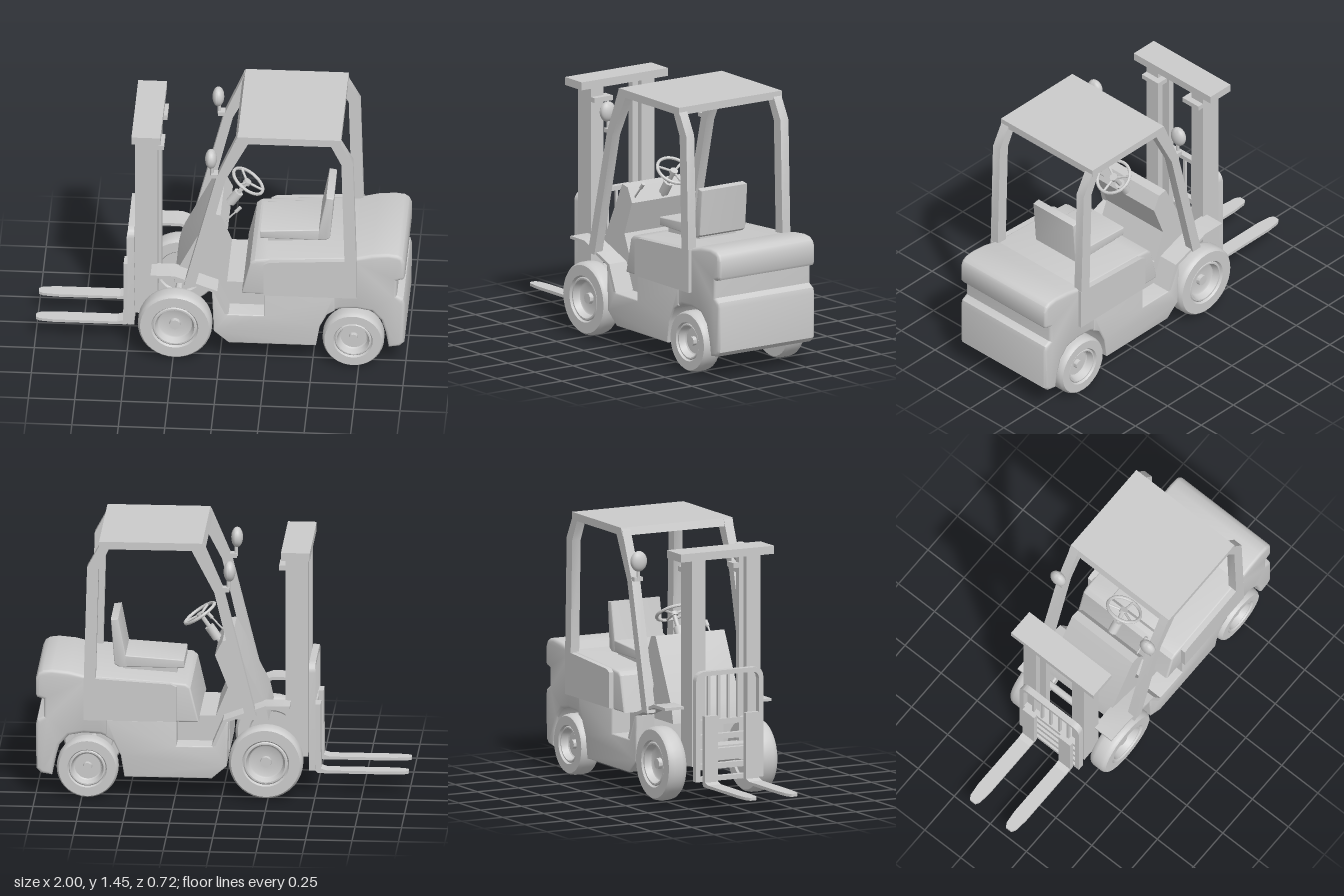
import * as THREE from 'three';
import { toCreasedNormals } from 'three/addons/utils/BufferGeometryUtils.js';

const mat = new THREE.MeshStandardMaterial({ color: 0xcccccc });

export function createModel() {
  const model = new THREE.Group();

  const add = (name, geo, x = 0, y = 0, z = 0) => {
    const mesh = new THREE.Mesh(toCreasedNormals(geo, 0.6), mat);
    mesh.name = name;
    mesh.position.set(x, y, z);
    model.add(mesh);
    return mesh;
  };
  const shapeOf = (pts) => new THREE.Shape(pts.map(([x, y]) => new THREE.Vector2(x, y)));
  // Side profile (x, y) extruded from z0 to z1, edges rounded by b
  const side = (name, pts, z0, z1, b = 0) => {
    const geo = new THREE.ExtrudeGeometry(shapeOf(pts), {
      depth: z1 - z0 - 2 * b, bevelEnabled: b > 0, bevelSize: b,
      bevelThickness: b, bevelOffset: -b, bevelSegments: 3,
    });
    return add(name, geo.translate(0, 0, z0 + b));
  };
  // Same profile on both sides, between distances a and b from the middle
  const pair = (name, pts, a, b, bevel = 0) => {
    side('left ' + name, pts, -b, -a, bevel);
    side('right ' + name, pts, a, b, bevel);
  };
  // Box given by its limits
  const box = (name, x0, x1, y0, y1, z0, z1) =>
    add(name, new THREE.BoxGeometry(x1 - x0, y1 - y0, z1 - z0),
      (x0 + x1) / 2, (y0 + y1) / 2, (z0 + z1) / 2);
  // Round bar between two points
  const bar = (name, a, b, r, sides = 12) => {
    const p = new THREE.Vector3(...a), q = new THREE.Vector3(...b);
    const mesh = add(name, new THREE.CylinderGeometry(r, r, p.distanceTo(q), sides));
    mesh.position.copy(p).add(q).multiplyScalar(0.5);
    mesh.quaternion.setFromUnitVectors(new THREE.Vector3(0, 1, 0), q.sub(p).normalize());
    return mesh;
  };

  // Chassis with side steps, and the floor between them
  side('chassis', [[-0.03, 0.19], [0.05, 0.12], [0.52, 0.12], [0.54, 0.24], [0.58, 0.32],
    [0.62, 0.345], [0.62, 0.44], [0.24, 0.44], [0.24, 0.30], [0.045, 0.30], [-0.01, 0.44],
    [-0.04, 0.44]], -0.32, 0.32, 0.006);
  box('floor', -0.04, 0.26, 0.25, 0.44, -0.21, 0.21);

  // Counterweight with rear groove and wheel arch
  side('counterweight', [[0.56, 0.3], [0.59, 0.33], [0.65, 0.355], [0.74, 0.36], [0.82, 0.345],
    [0.87, 0.29], [0.895, 0.21], [0.91, 0.12], [0.97, 0.13], [0.995, 0.155], [0.998, 0.40],
    [0.99, 0.43], [0.955, 0.45], [0.955, 0.545], [0.99, 0.555], [0.998, 0.57], [0.998, 0.66],
    [0.985, 0.69], [0.96, 0.707], [0.91, 0.713], [0.82, 0.705], [0.72, 0.68], [0.56, 0.66]],
  -0.317, 0.317, 0.018);

  // Hood and side panels
  side('hood', [[0.12, 0.43], [0.165, 0.625], [0.19, 0.645], [0.26, 0.652], [0.75, 0.682],
    [0.75, 0.43]], -0.31, 0.31, 0.012);
  pair('side panel', [[0.24, 0.44], [0.24, 0.635], [0.27, 0.65], [0.74, 0.677], [0.74, 0.44]],
    0.29, 0.337);

  // Dashboard
  side('dashboard', [[-0.25, 0.42], [-0.23, 0.51], [-0.05, 0.87], [0.0, 0.86], [0.04, 0.78],
    [-0.03, 0.60], [0.035, 0.44], [0.0, 0.42]], -0.21, 0.21);

  // Front fenders
  pair('fender', [[-0.37, 0.52], [-0.37, 0.535], [-0.24, 0.535], [-0.01, 0.45], [0.05, 0.305],
    [0.03, 0.305], [-0.03, 0.44], [-0.24, 0.517]], 0.2, 0.325);

  // Overhead guard
  side('roof', [[0.085, 1.405], [0.1, 1.447], [0.655, 1.447], [0.655, 1.405]], -0.34, 0.34);
  pair('front post', [[-0.19, 0.48], [-0.015, 1.18], [0.095, 1.44], [0.16, 1.41], [0.035, 1.17],
    [-0.13, 0.48]], 0.285, 0.337);
  pair('rear post', [[0.655, 1.42], [0.72, 1.30], [0.738, 0.66], [0.675, 0.66], [0.658, 1.29],
    [0.6, 1.41]], 0.285, 0.337);

  // Wheels: tyre and dished rim in one turned profile, with axles
  const wheel = (name, x, r, s) => {
    const pts = [[0, 0.01], [0.6, 0.01], [0.64, 0], [0.93, 0], [0.98, 0.012], [1, 0.03],
      [1, 0.077], [0.98, 0.095], [0.93, 0.107], [0.64, 0.107], [0.6, 0.095], [0.57, 0.1],
      [0.53, 0.1], [0.46, 0.065], [0.42, 0.06], [0.15, 0.06], [0.14, 0.082], [0, 0.082]];
    const geo = new THREE.LatheGeometry(pts.map(([a, h]) => new THREE.Vector2(a * r, h)), 36);
    add(name, geo.rotateX(s * Math.PI / 2), x, r === 0.2 ? 0.212 : r, s * 0.224);
  };
  for (const s of [-1, 1]) {
    wheel('front wheel', -0.24, 0.2, s);
    wheel('rear wheel', 0.72, 0.166, s);
  }
  bar('front axle', [-0.24, 0.212, -0.25], [-0.24, 0.212, 0.25], 0.02);
  bar('rear axle', [0.72, 0.166, -0.25], [0.72, 0.166, 0.25], 0.02);

  // Mast: two inward-facing channels, top beam and tabs
  for (const s of [-1, 1]) {
    const m = (name, x0, x1, y0, y1, a, b) =>
      box(name, x0, x1, y0, y1, Math.min(s * a, s * b), Math.max(s * a, s * b));
    m('mast web', -0.46, -0.34, 0.22, 1.345, 0.18, 0.21);
    m('mast front flange', -0.46, -0.425, 0.22, 1.345, 0.125, 0.18);
    m('mast rear flange', -0.375, -0.34, 0.22, 1.345, 0.125, 0.18);
    m('mast tab', -0.375, -0.305, 1.265, 1.292, 0.09, 0.21);
  }
  box('mast top beam', -0.475, -0.32, 1.343, 1.387, -0.285, 0.285);
  box('mast lower beam', -0.45, -0.35, 0.24, 0.32, -0.18, 0.18);

  // Load backrest: rounded frame with bars
  const outline = (Type, w, y0, y1, r) => new Type().moveTo(-w, y0).lineTo(w, y0)
    .lineTo(w, y1 - r).quadraticCurveTo(w, y1, w - r, y1)
    .lineTo(r - w, y1).quadraticCurveTo(-w, y1, -w, y1 - r).lineTo(-w, y0);
  const frame = outline(THREE.Shape, 0.205, 0.14, 0.74, 0.06);
  frame.holes.push(outline(THREE.Path, 0.178, 0.165, 0.715, 0.04));
  add('backrest frame', new THREE.ExtrudeGeometry(frame, { depth: 0.035, bevelEnabled: false })
    .rotateY(Math.PI / 2), -0.5);
  for (let i = -2; i <= 2; i++) {
    box('backrest bar', -0.492, -0.475, 0.47, 0.72, i * 0.06 - 0.007, i * 0.06 + 0.007);
  }
  for (const y of [0.22, 0.3, 0.38, 0.46]) {
    box('carriage bar', -0.498, -0.468, y - 0.015, y + 0.015, -0.185, 0.185);
  }

  // Forks with tapered tips
  for (const s of [-1, 1]) {
    const blade = shapeOf([[-0.51, -0.04], [-0.51, 0.04], [-0.9, 0.04], [-0.975, 0.032],
      [-0.998, 0.018], [-0.998, -0.018], [-0.975, -0.032], [-0.9, -0.04]]);
    add('fork blade', new THREE.ExtrudeGeometry(blade, { depth: 0.016, bevelEnabled: false })
      .rotateX(Math.PI / 2), 0, 0.13, s * 0.125);
    side('fork upright', [[-0.56, 0.114], [-0.51, 0.114], [-0.498, 0.126], [-0.498, 0.5],
      [-0.525, 0.5], [-0.527, 0.14], [-0.56, 0.13]], s * 0.125 - 0.04, s * 0.125 + 0.04);
  }

  // Seat
  side('seat base', [[0.25, 0.64], [0.25, 0.69], [0.54, 0.69], [0.54, 0.64]], -0.12, 0.12);
  side('seat cushion', [[0.21, 0.685], [0.21, 0.73], [0.53, 0.75], [0.53, 0.685]],
    -0.15, 0.15, 0.006);
  side('seat back', [[0.51, 0.685], [0.525, 0.75], [0.565, 0.957], [0.605, 0.95], [0.585, 0.70],
    [0.56, 0.685]], -0.15, 0.15, 0.006);

  // Steering wheel with spokes and column
  const steering = new THREE.Group();
  steering.name = 'steering wheel';
  steering.add(add('steering rim', new THREE.TorusGeometry(0.095, 0.009, 8, 32).rotateX(Math.PI / 2)));
  steering.add(add('steering hub', new THREE.CylinderGeometry(0.022, 0.022, 0.02, 16), 0, -0.008));
  for (let i = 0; i < 3; i++) {
    const a = i * Math.PI * 2 / 3;
    steering.add(bar('steering spoke', [0, -0.008, 0],
      [0.093 * Math.cos(a), 0, 0.093 * Math.sin(a)], 0.007, 8));
  }
  steering.position.set(0.135, 0.95, 0);
  steering.rotation.z = -0.6;
  model.add(steering);
  bar('steering column', [0.0, 0.755, 0], [0.13, 0.943, 0], 0.012);
  bar('column sleeve', [0.04, 0.813, 0], [0.085, 0.878, 0], 0.027);

  // Control lever
  bar('control lever', [0.0, 0.78, 0.18], [0.1, 0.89, 0.18], 0.005, 8);
  bar('lever grip', [0.08, 0.868, 0.18], [0.105, 0.896, 0.18], 0.01, 10);

  // Work lights on the front posts
  for (const s of [-1, 1]) {
    box('light bracket', -0.045, 0.03, 1.175, 1.198, s * 0.31 - 0.025, s * 0.31 + 0.025);
    bar('light stem', [-0.04, 1.18, s * 0.31], [-0.04, 1.25, s * 0.31], 0.01);
    add('work light', new THREE.SphereGeometry(1, 20, 14).scale(0.032, 0.056, 0.048),
      -0.045, 1.285, s * 0.31);
  }

  return model;
}
